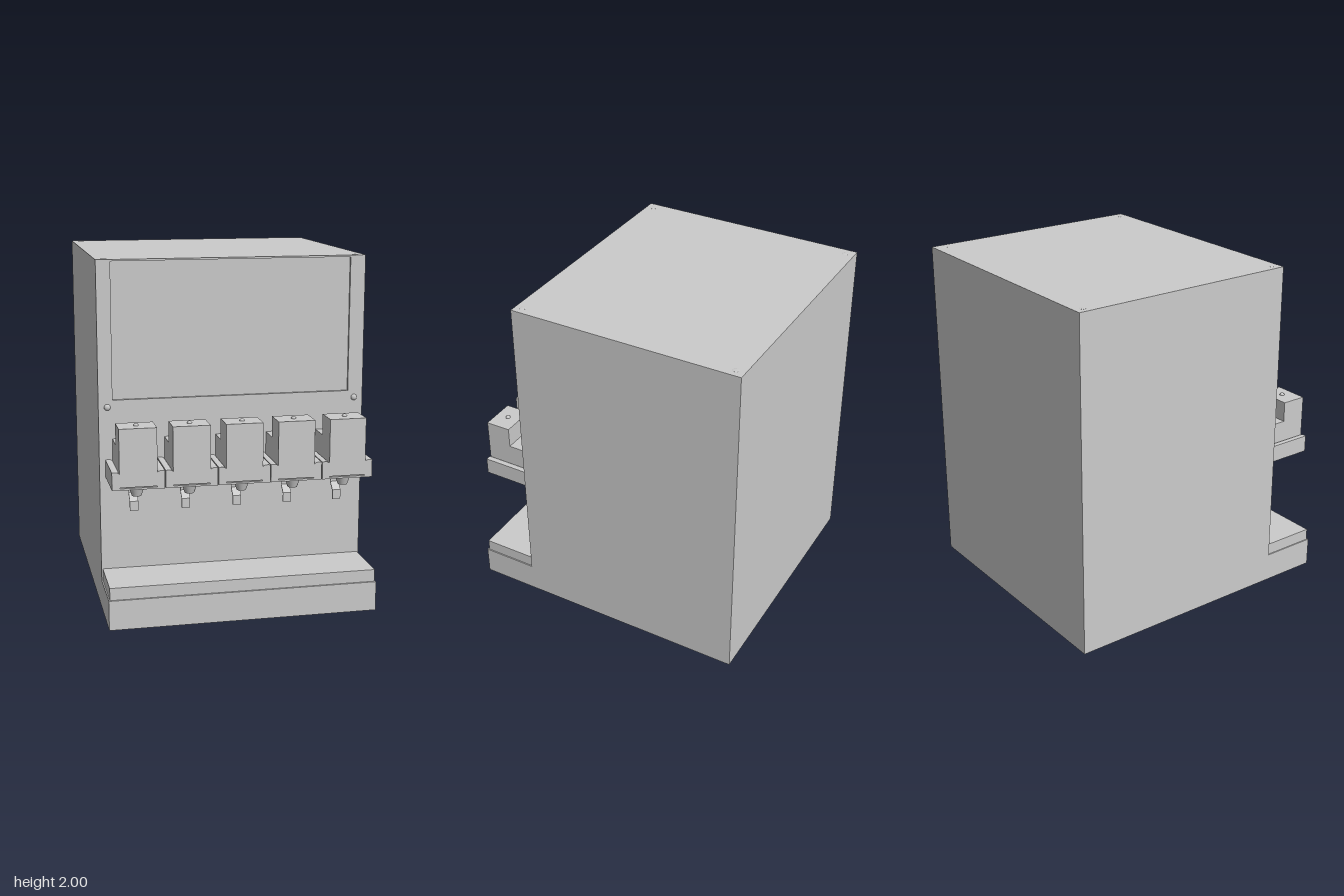
import * as THREE from 'three';

const grey = new THREE.MeshStandardMaterial({ color: 0xcccccc });

function add(parent, name, geometry, x = 0, y = 0, z = 0) {
  const mesh = new THREE.Mesh(geometry, grey);
  mesh.name = name;
  mesh.position.set(x, y, z);
  parent.add(mesh);
  return mesh;
}

// Box given by its limits on each axis
function block(parent, name, x0, x1, y0, y1, z0, z1) {
  return add(parent, name, new THREE.BoxGeometry(x1 - x0, y1 - y0, z1 - z0),
    (x0 + x1) / 2, (y0 + y1) / 2, (z0 + z1) / 2);
}

const outline = (points) => new THREE.Shape(points.map(([x, y]) => new THREE.Vector2(x, y)));
const extrude = (shape, depth) =>
  new THREE.ExtrudeGeometry(shape, { depth, bevelEnabled: false, curveSegments: 6 });

// Side profile in (z, y), extruded across x and centred
function sideExtrude(points, width) {
  const geometry = extrude(outline(points.map(([z, y]) => [-z, y])), width);
  geometry.rotateY(Math.PI / 2);
  geometry.translate(-width / 2, 0, 0);
  return geometry;
}

const dome = (r) => new THREE.SphereGeometry(r, 16, 8, 0, Math.PI * 2, 0, Math.PI / 2);

function createValve() {
  const valve = new THREE.Group();
  valve.name = 'valve';

  // Stepped housing: tall in front, lower behind
  add(valve, 'valveHousing', sideExtrude(
    [[0.52, 0.795], [0.81, 0.795], [0.81, 1.12], [0.66, 1.12], [0.66, 1], [0.52, 1]], 0.208));

  // Cradle with raised side lips curving in to the housing
  const cradle = new THREE.Shape();
  cradle.moveTo(-0.145, 0.78);
  cradle.lineTo(0.145, 0.78);
  cradle.lineTo(0.145, 0.88);
  cradle.quadraticCurveTo(0.11, 0.886, 0.102, 0.868);
  cradle.lineTo(0.102, 0.79);
  cradle.lineTo(-0.102, 0.79);
  cradle.lineTo(-0.102, 0.868);
  cradle.quadraticCurveTo(-0.11, 0.886, -0.145, 0.88);
  add(valve, 'valveCradle', extrude(cradle, 0.29), 0, 0, 0.52);

  add(valve, 'nozzle', new THREE.CylinderGeometry(0.045, 0.027, 0.055, 24), 0, 0.7525, 0.725);
  add(valve, 'valveButton', new THREE.SphereGeometry(0.014, 16, 10), 0, 1.12, 0.735);

  // Bent sheet lever behind the nozzle
  add(valve, 'lever', sideExtrude(
    [[0.566, 0.785], [0.566, 0.693], [0.612, 0.655], [0.612, 0.605],
      [0.618, 0.605], [0.618, 0.659], [0.572, 0.697], [0.572, 0.785]], 0.048));
  return valve;
}

export function createModel() {
  const model = new THREE.Group();
  model.name = 'drinkDispenser';

  // Cabinet with a framed front opening and a recessed display panel
  block(model, 'cabinet', -0.765, 0.765, 0, 1.998, -0.855, 0.505);
  const frame = outline([[-0.765, 0], [0.765, 0], [0.765, 1.998], [-0.765, 1.998]]);
  frame.holes.push(outline([[-0.685, 1.22], [-0.685, 1.988], [0.678, 1.988], [0.678, 1.22]]));
  add(model, 'frontFrame', extrude(frame, 0.015), 0, 0, 0.505);

  // Base and drip tray
  block(model, 'base', -0.765, 0.765, 0, 0.17, 0.52, 0.855);
  block(model, 'dripTray', -0.758, 0.758, 0.17, 0.24, 0.52, 0.845);

  // Row of five valves
  for (let i = -2; i <= 2; i++) {
    const valve = createValve();
    valve.position.x = 0.003 + i * 0.2945;
    model.add(valve);
  }

  // Screws on the front and at the corners of the top
  for (const side of [-1, 1]) {
    const screw = add(model, 'frontScrew', dome(0.018), side * 0.715, 1.18, 0.52);
    screw.rotation.x = Math.PI / 2;
    screw.scale.y = 0.7;
    for (const z of [0.475, -0.8]) {
      add(model, 'topScrew', dome(0.018), side * 0.715, 1.998, z).scale.y = 0.11;
    }
  }
  return model;
}
